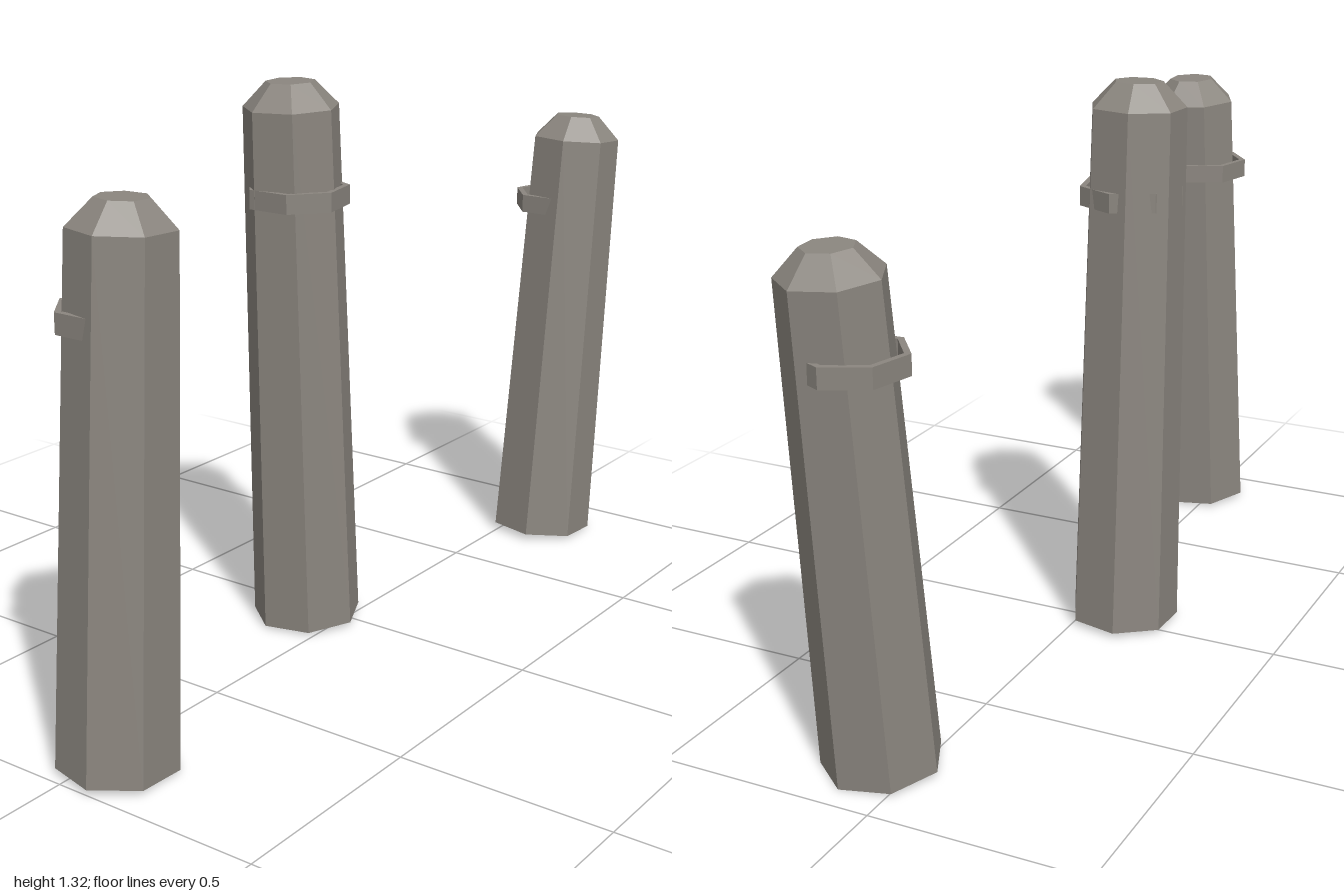
import * as THREE from 'three';

const SIDES = 7;

const stone = new THREE.MeshStandardMaterial({ color: 0x8b867f, flatShading: true });
stone.name = 'weathered grey';

// Seven-sided solid turned from a profile of [radius, height] points
function turned(profile, startAngle) {
  const points = profile.map(([r, y]) => new THREE.Vector2(r, y));
  return new THREE.LatheGeometry(points, SIDES, startAngle);
}

// Tapered post with a bevelled cap, leaning from its base centre to its top centre
function makePost(base, top, yaw) {
  const axis = top.clone().sub(base);
  const h = axis.length();
  const post = new THREE.Mesh(
    turned([[0, 0], [0.132, 0], [0.113, h - 0.058], [0.057, h], [0, h]], yaw),
    stone
  );
  post.name = 'post';
  post.position.copy(base);
  post.quaternion.setFromUnitVectors(new THREE.Vector3(0, 1, 0), axis.normalize());
  return post;
}

// Level band, with one corner pointing along +x
function makeBand(position) {
  const outer = 0.121, inner = 0.106, half = 0.0225;
  const band = new THREE.Mesh(
    turned([[outer, -half], [outer, half], [inner, half], [inner, -half], [outer, -half]], Math.PI / 2),
    stone
  );
  band.name = 'band';
  band.position.copy(position);
  return band;
}

export function createModel() {
  const model = new THREE.Group();
  model.name = 'mooringPosts';

  const posts = [
    { name: 'rightPost', base: [-0.873, 0.01, 0.047], top: [-0.828, 1.2, 0.072], yaw: Math.PI, band: [-0.836, 0.962, 0.045] },
    { name: 'middlePost', base: [-0.04, 0.01, -0.093], top: [-0.074, 1.32, -0.105], yaw: 0, band: [-0.071, 1.06, -0.09] },
    { name: 'leftPost', base: [0.815, 0.01, 0.076], top: [0.886, 1.14, 0.108], yaw: Math.PI, band: [0.874, 0.913, 0.073] },
  ];

  for (const p of posts) {
    const group = new THREE.Group();
    group.name = p.name;
    group.add(
      makePost(new THREE.Vector3(...p.base), new THREE.Vector3(...p.top), p.yaw),
      makeBand(new THREE.Vector3(...p.band))
    );
    model.add(group);
  }
  return model;
}
